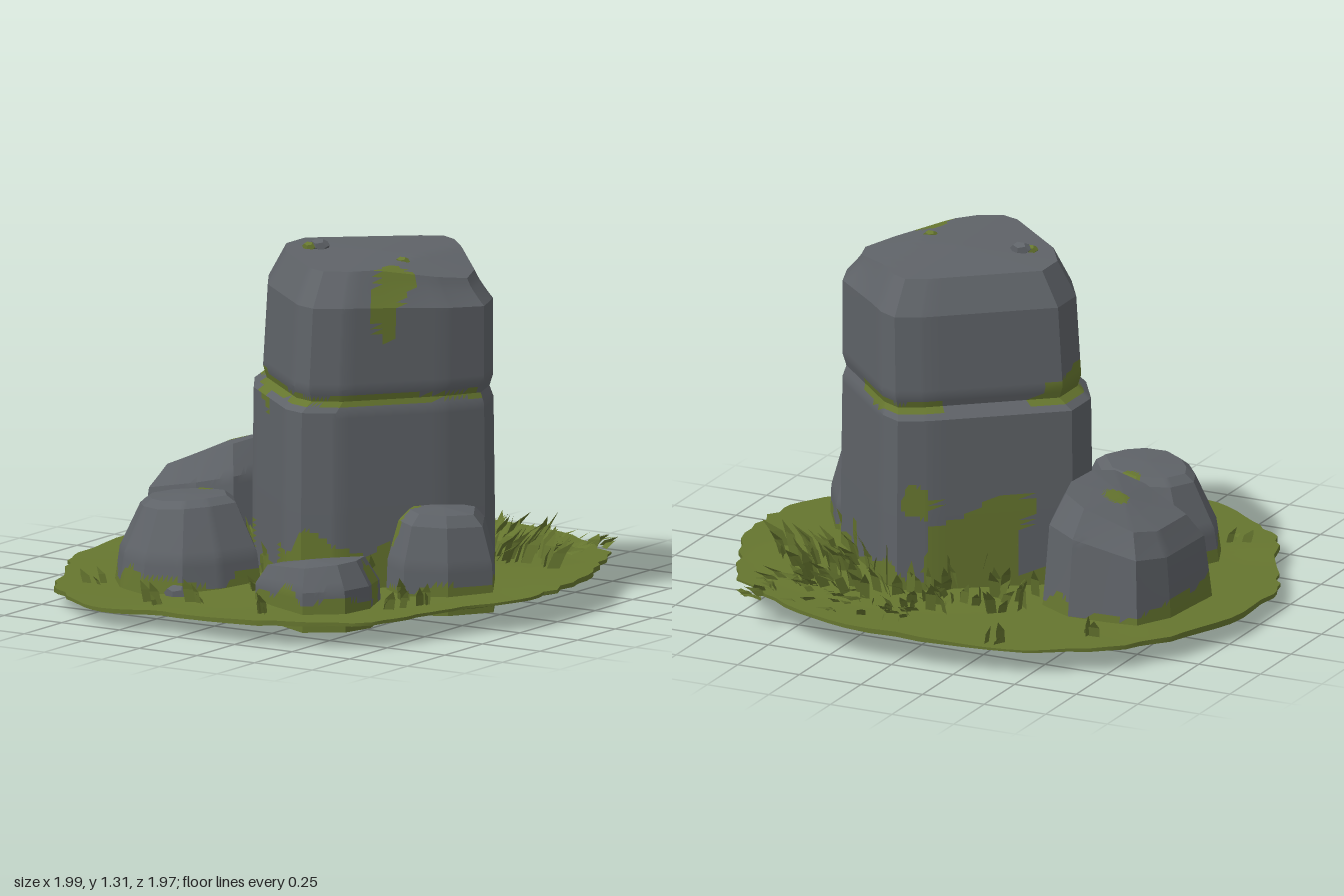
import * as THREE from 'three';
import { toCreasedNormals } from 'three/addons/utils/BufferGeometryUtils.js';

const stone = new THREE.MeshStandardMaterial({ color: 0x5f6368 });
stone.name = 'stone grey';
const moss = new THREE.MeshStandardMaterial({ color: 0x66762f, side: THREE.DoubleSide });
moss.name = 'moss green';

let seed = 7;
const rand = (a = 0, b = 1) => {
  seed = (seed * 16807) % 2147483647;
  return a + (b - a) * (seed / 2147483647);
};
const noise = (x, y, z) =>
  (Math.sin(x * 17 + y * 9 + 1) + Math.sin(y * 23 - z * 19) + Math.sin(z * 13 + x * 31 + y * 5)) / 3;
const lerp = THREE.MathUtils.lerp;

// Split each edge of a closed [x, z] outline into n pieces
function subdivide(outline, n) {
  const out = [];
  outline.forEach(([x, z], i) => {
    const [x2, z2] = outline[(i + 1) % outline.length];
    for (let k = 0; k < n; k++) out.push([lerp(x, x2, k / n), lerp(z, z2, k / n)]);
  });
  return out;
}

// Skin a stack of closed rings; faces where isMoss(x, y, z) holds get the moss material
function loft(name, rings, isMoss, crease) {
  const plain = [], mossy = [];
  const add = (a, b, c) => {
    const area = b.clone().sub(a).cross(c.clone().sub(a)).length();
    if (area < 1e-9) return;
    const m = a.clone().add(b).add(c).divideScalar(3);
    const list = isMoss(m.x, m.y, m.z) ? mossy : plain;
    for (const v of [a, b, c]) list.push(v.x, v.y, v.z);
  };
  for (let j = 0; j < rings.length - 1; j++) {
    const lo = rings[j], hi = rings[j + 1];
    for (let i = 0; i < lo.length; i++) {
      const k = (i + 1) % lo.length;
      add(lo[i], hi[i], lo[k]);
      add(lo[k], hi[i], hi[k]);
    }
  }
  const geo = new THREE.BufferGeometry();
  geo.setAttribute('position', new THREE.Float32BufferAttribute([...plain, ...mossy], 3));
  geo.addGroup(0, plain.length / 3, 0);
  geo.addGroup(plain.length / 3, mossy.length / 3, 1);
  const mesh = new THREE.Mesh(toCreasedNormals(geo, crease), [stone, moss]);
  mesh.name = name;
  return mesh;
}

// Rock from a base outline and levels [y, scale, shiftX]; warp adjusts the height
function rock(name, outline, levels, step, warp, isMoss) {
  const pts = subdivide(outline, 8);
  const cx = (Math.max(...outline.map(p => p[0])) + Math.min(...outline.map(p => p[0]))) / 2;
  const cz = (Math.max(...outline.map(p => p[1])) + Math.min(...outline.map(p => p[1]))) / 2;
  const rings = [];
  const ring = (y, s, dx) => rings.push(pts.map(([x, z]) => {
    const px = cx + dx + (x - cx) * s, pz = cz + (z - cz) * s;
    return new THREE.Vector3(px, y + warp(px - cx, y, pz - cz), pz);
  }));
  for (let l = 0; l < levels.length - 1; l++) {
    const [y1, s1, d1 = 0] = levels[l], [y2, s2, d2 = 0] = levels[l + 1];
    const n = Math.max(1, Math.round(Math.max(y2 - y1, Math.abs(s2 - s1) * 0.35) / step));
    for (let k = 0; k < n; k++) ring(lerp(y1, y2, k / n), lerp(s1, s2, k / n), lerp(d1, d2, k / n));
  }
  ring(...levels.at(-1).concat(0).slice(0, 3));
  return loft(name, rings, isMoss, 0.4);
}

// Ground height, gently tilted with a rise under the pillar
const rim = (x, z) => 0.095 + 0.025 * x - 0.018 * z;
const groundY = (x, z) =>
  rim(x, z) + 0.03 * Math.max(0, 1 - Math.hypot(x - 0.18, z) / 0.75) + 0.008 * noise(x / 3, 0, z / 3);

function ground() {
  const outline = [[1, 0], [0.98, 0.2], [0.86, 0.4], [0.79, 0.6], [0.72, 0.8], [0.45, 0.94], [0.2, 0.99],
    [-0.1, 0.97], [-0.35, 1], [-0.55, 0.87], [-0.72, 0.75], [-0.8, 0.55], [-0.93, 0.32], [-1, 0.15],
    [-0.99, -0.2], [-0.89, -0.5], [-0.75, -0.72], [-0.5, -0.9], [-0.2, -0.98], [0.2, -0.99],
    [0.5, -0.9], [0.78, -0.7], [0.88, -0.5], [0.98, -0.25]];
  const pts = subdivide(outline, 4).map(([x, z]) => {
    const f = 1 - rand(0, 0.025);
    return [x * f, z * f];
  });
  const scales = [0, 0.25, 0.45, 0.6, 0.75, 0.88, 1];
  const bottom = scales.map(s => pts.map(([x, z]) =>
    new THREE.Vector3(x * s, lerp(0, rim(x, z) - 0.015, s ** 2.5), z * s)));
  const top = scales.map(s => pts.map(([x, z]) =>
    new THREE.Vector3(x * s, groundY(x * s, z * s), z * s))).reverse();
  return loft('mossyGround', [...bottom, ...top], () => true, 0.6);
}

// Moss placement on the pillar: skirt, seam, corner growth and a streak from the top
function pillarMoss(x, y, z) {
  const n = noise(x, y, z), n2 = noise(x * 0.4 + 2, y * 0.2, z * 0.4);
  const backLeft = x + z < -0.2, lat = (z - x) / 1.414;
  if (y < 0.17 + 0.06 * n) return true;
  if (backLeft && Math.abs(lat + 0.26) < 0.2 + 0.06 * n && y < 0.46 + 0.12 * n) return true;
  if (z > 0.25 && x > 0.05 && x < 0.5 && y < 0.3 + 0.1 * n) return true;
  if (x < -0.2 && z > 0 && y < 0.6 - (x + 0.33) * 2.5 + 0.05 * n) return true;
  if (Math.abs(y - 0.805) < 0.02 + 0.012 * n && n2 > (z < 0 && !backLeft ? 0.1 : -0.35)) return true;
  if (z > 0 && x < -0.06 && Math.abs(y - 0.9 + (x + 0.26) * 0.9) < 0.035 + 0.02 * n) return true;
  if (backLeft && lat > 0.02 && y > 0.8 && y < 0.9 + 0.05 * n) return true;
  return z > 0.13 && z < 0.32 && y > 1.02 && Math.abs(x - 0.43) < 0.015 + (y - 1.02) * 0.16 + 0.01 * n;
}

// Thin bent blades of grass: each is [x, z, height, lean]
function grass(name, blades) {
  const pos = [];
  for (const [x, z, h, lean] of blades) {
    const y = groundY(x, z) - 0.01, w = rand(0.012, 0.024);
    const turn = rand(0, Math.PI), ux = Math.cos(turn) * w, uz = Math.sin(turn) * w;
    const away = Math.atan2(z, x - 0.18) + rand(-0.7, 0.7);
    const lx = Math.cos(away) * lean, lz = Math.sin(away) * lean;
    const a = [x - ux, y, z - uz], b = [x + ux, y, z + uz];
    const c = [x + ux + lx * 0.35, y + h * 0.6, z + uz + lz * 0.35];
    const d = [x - ux + lx * 0.35, y + h * 0.6, z - uz + lz * 0.35];
    pos.push(...a, ...b, ...c, ...a, ...c, ...d, ...d, ...c, x + lx, y + h, z + lz);
  }
  const geo = new THREE.BufferGeometry();
  geo.setAttribute('position', new THREE.Float32BufferAttribute(pos, 3));
  geo.computeVertexNormals();
  const mesh = new THREE.Mesh(geo, moss);
  mesh.name = name;
  return mesh;
}

export function createModel() {
  const group = new THREE.Group();
  group.name = 'mossyRocks';
  group.add(ground());

  // Tall pillar with a pinched seam and bevelled top
  group.add(rock('stonePillar',
    [[0.61, -0.18], [0.66, -0.04], [0.58, 0.1], [0.31, 0.42], [0.2, 0.48], [0.11, 0.45], [-0.22, 0.16],
      [-0.32, 0], [-0.32, -0.16], [0.1, -0.5], [0.2, -0.55], [0.28, -0.51]],
    [[0.03, 1], [0.4, 1], [0.765, 0.99], [0.805, 0.92, 0.02], [0.85, 0.95, 0.02], [1.15, 0.93, 0.03],
      [1.275, 0.78, 0.03], [1.285, 0, 0.03]], 0.02,
    (x, y) => (y > 1.1 ? -Math.max(0, x - 0.2) * 0.25 * Math.min(1, (y - 1.1) / 0.15) : 0), pillarMoss));

  // Four smaller rocks: outline, levels, sideways tilt, top moss spot [x, z, radius]
  const rocks = [
    ['backLeftRock', [[-0.28, -0.28], [-0.29, -0.05], [-0.36, 0.07], [-0.52, 0.1], [-0.8, 0.02], [-0.79, -0.3],
      [-0.72, -0.44], [-0.45, -0.47], [-0.32, -0.42]],
    [[0.04, 1], [0.36, 0.9], [0.46, 0.7], [0.48, 0]], 0.4, [-0.51, -0.21, 0.04]],
    ['frontLeftRock', [[-0.03, 0.38], [-0.1, 0.55], [-0.2, 0.66], [-0.35, 0.7], [-0.5, 0.62], [-0.6, 0.5],
      [-0.65, 0.38], [-0.58, 0.22], [-0.4, 0.12], [-0.18, 0.18]],
    [[0.04, 1], [0.2, 0.92], [0.37, 0.64], [0.395, 0.52], [0.4, 0]], 0.08, [-0.35, 0.24, 0.06]],
    ['frontRightRock', [[0.58, 0.6], [0.55, 0.72], [0.42, 0.81], [0.3, 0.75], [0.1, 0.64], [0.13, 0.55],
      [0.35, 0.47], [0.53, 0.45]],
    [[0.03, 1], [0.17, 0.97], [0.25, 0.76], [0.265, 0]], 0.15, [0.55, 0.52, 0.05]],
    ['rightRock', [[0.82, 0.15], [0.72, 0.3], [0.57, 0.37], [0.45, 0.3], [0.4, 0.1], [0.5, -0.03], [0.7, -0.05]],
      [[0.04, 1], [0.22, 0.97], [0.36, 0.78], [0.4, 0.6], [0.41, 0]], -0.06, [0.45, 0.22, 0.07]],
  ];
  for (const [name, outline, levels, tilt, [mx, mz, r]] of rocks) {
    const height = levels.at(-1)[0];
    group.add(rock(name, outline, levels, 0.025, (x, y) => tilt * x * (y / height) ** 2,
      (x, y, z) => y < 0.135 + 0.06 * noise(x, y, z)
        || Math.hypot(x - mx, z - mz) < r * (1 + 0.4 * noise(x, y, z))));
  }

  // Loose pebbles and small moss clumps
  const bits = [[-0.02, 1.29, 0.02, 0.035, stone], [-0.05, 1.285, 0.04, 0.025, moss],
    [0.36, 1.275, 0.05, 0.025, moss], [-0.2, 0.09, 0.69, 0.045, stone]];
  for (const [x, y, z, r, material] of bits) {
    const bit = new THREE.Mesh(new THREE.DodecahedronGeometry(r), material);
    bit.name = material === stone ? 'pebble' : 'mossClump';
    bit.position.set(x, y, z);
    bit.scale.set(1.2, 0.7, 0.8);
    group.add(bit);
  }

  // Grass: thick behind the pillar, a ring at its foot, flat tufts and a few in front
  const back = [], foot = [], flat = [], front = [];
  while (back.length < 90) {
    const x = rand(-0.62, 0.8), z = rand(-0.68, -0.3), d = Math.abs(x - 0.18) + Math.abs(z + 0.03);
    if (d > 0.56 && d < 0.95 && !(x < -0.3 && z > -0.48)) back.push([x, z, rand(0.06, 0.14), rand(0.03, 0.09)]);
  }
  for (let i = 0; i < 44; i++) {
    const t = rand(), sx = i % 2 ? 1 : -1, sz = i % 4 < 2 ? 1 : -1;
    foot.push([0.18 + sx * t * 0.54, -0.03 + sz * (1 - t) * 0.56, rand(0.08, 0.18), rand(0.01, 0.05)]);
  }
  for (let i = 0; i < 60; i++) flat.push([rand(0.05, 0.7), rand(-0.85, -0.55), rand(0.02, 0.06), rand(0.04, 0.1)]);
  for (const [x, z] of [[-0.2, 0.85], [-0.05, 0.78], [0.25, 0.82], [0.7, 0.45], [0.65, 0.55], [-0.35, -0.85],
    [-0.6, -0.6], [0.05, 0.5], [0.58, 0.42], [-0.6, 0.62], [-0.25, 0.1]]) {
    for (let k = 0; k < 3; k++) front.push([x + rand(-0.04, 0.04), z + rand(-0.03, 0.03), rand(0.04, 0.1), 0.03]);
  }
  group.add(grass('backGrass', back), grass('footGrass', foot), grass('flatGrass', flat), grass('looseGrass', front));
  return group;
}
